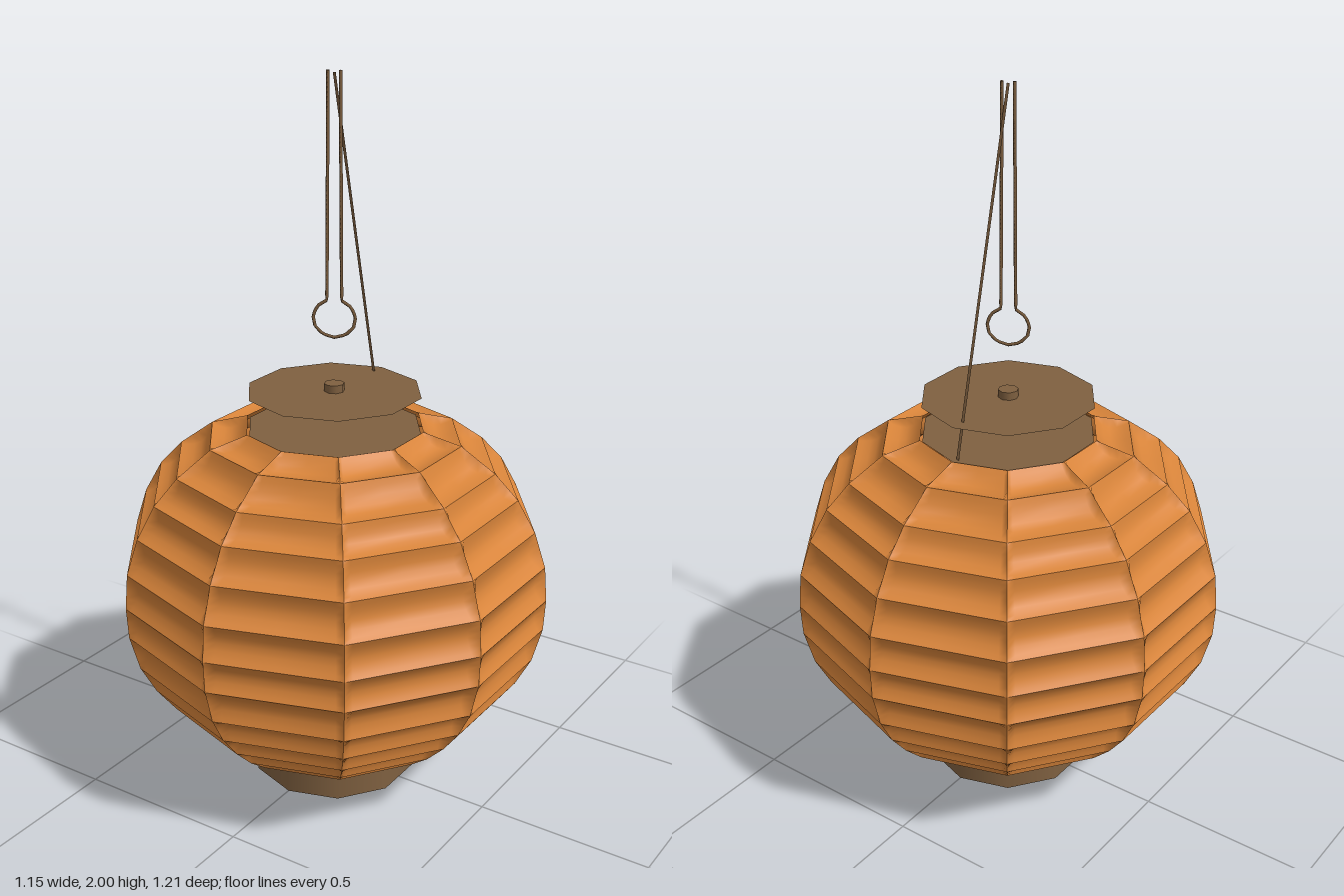
import * as THREE from 'three';

const SIDES = 10;

// [height, corner radius] of each hoop, from the top opening down
const HOOPS = [
  [1.05, 0.25], [1.02, 0.355], [0.95, 0.45], [0.88, 0.515], [0.79, 0.565],
  [0.69, 0.597], [0.59, 0.605], [0.5, 0.6], [0.4, 0.573], [0.32, 0.53],
  [0.25, 0.475], [0.185, 0.41], [0.135, 0.345], [0.09, 0.24],
];

// Paper shell: every panel is pinned to its hoops and ribs and sags inward between them
function paperGeometry() {
  const us = [0, 0.06, 0.5, 0.94, 1];
  const vs = [0, 0.12, 0.3, 0.5, 0.7, 0.88, 1];
  const positions = [], indices = [];
  for (let row = 0; row < HOOPS.length - 1; row++) {
    const [y0, r0] = HOOPS[row], [y1, r1] = HOOPS[row + 1];
    const dr = r1 - r0, dy = y1 - y0;
    for (let s = 0; s < SIDES; s++) {
      const start = positions.length / 3;
      const a0 = (s / SIDES) * Math.PI * 2, a1 = ((s + 1) / SIDES) * Math.PI * 2;
      for (const v of vs) {
        for (const u of us) {
          const sag = u === 0 || u === 1 ? 0 : 0.22 * Math.sin(Math.PI * v);
          const r = r0 + dr * v + dy * sag;
          const y = y0 + dy * v - dr * sag;
          positions.push(
            r * THREE.MathUtils.lerp(Math.sin(a0), Math.sin(a1), u), y,
            r * THREE.MathUtils.lerp(Math.cos(a0), Math.cos(a1), u));
        }
      }
      for (let j = 0; j < vs.length - 1; j++) {
        for (let i = 0; i < us.length - 1; i++) {
          const a = start + j * us.length + i, b = a + us.length;
          indices.push(a, b, a + 1, b, b + 1, a + 1);
        }
      }
    }
  }
  const geometry = new THREE.BufferGeometry();
  geometry.setAttribute('position', new THREE.Float32BufferAttribute(positions, 3));
  geometry.setIndex(indices);
  geometry.computeVertexNormals();
  return geometry;
}

// Straight-segmented path for a thin tube
function polyline(points) {
  const path = new THREE.CurvePath();
  for (let i = 0; i < points.length - 1; i++) path.add(new THREE.LineCurve3(points[i], points[i + 1]));
  return path;
}

export function createModel() {
  const model = new THREE.Group();
  model.name = 'paperLantern';

  const paper = new THREE.MeshStandardMaterial({ color: 0xd8843a, side: THREE.DoubleSide });
  paper.name = 'orange paper';
  const wood = new THREE.MeshStandardMaterial({ color: 0x7f6040, side: THREE.DoubleSide });
  wood.name = 'brown wood';

  const add = (name, geometry, material, y = 0) => {
    const mesh = new THREE.Mesh(geometry, material);
    mesh.name = name;
    mesh.position.y = y;
    model.add(mesh);
    return mesh;
  };

  add('paperShell', paperGeometry(), paper);

  // Base drum
  add('base', new THREE.CylinderGeometry(0.237, 0.237, 0.095, SIDES), wood, 0.0475);

  // Two thin lids above the opening
  for (const [name, y] of [['lowerLid', 1.045], ['upperLid', 1.146]]) {
    const disc = new THREE.CircleGeometry(0.243, SIDES, Math.PI / 2);
    disc.rotateX(-Math.PI / 2);
    add(name, disc, wood, y);
  }
  add('knob', new THREE.CylinderGeometry(0.028, 0.028, 0.022, 8), wood, 1.157);

  // Hanging hook: two straight shanks joined by an open loop
  const points = [new THREE.Vector3(-0.016, 2, 0)];
  for (let i = 0; i <= 10; i++) {
    const a = THREE.MathUtils.lerp(0.35, Math.PI * 2 - 0.35, i / 10);
    points.push(new THREE.Vector3(-Math.sin(a) * 0.058, 1.35 + Math.cos(a) * 0.053, 0));
  }
  points.push(new THREE.Vector3(0.016, 2, 0));
  const hook = add('hook', new THREE.TubeGeometry(polyline(points), 120, 0.0045, 4), wood);
  hook.rotation.y = 0.42;

  // Flat cord slanting from the top to the rear rim
  const length = Math.hypot(0.95, 0.225);
  const cord = add('cord', new THREE.PlaneGeometry(0.009, length), wood, 1.52);
  cord.position.z = -0.1125;
  cord.rotation.x = Math.atan2(0.225, 0.95);

  return model;
}
